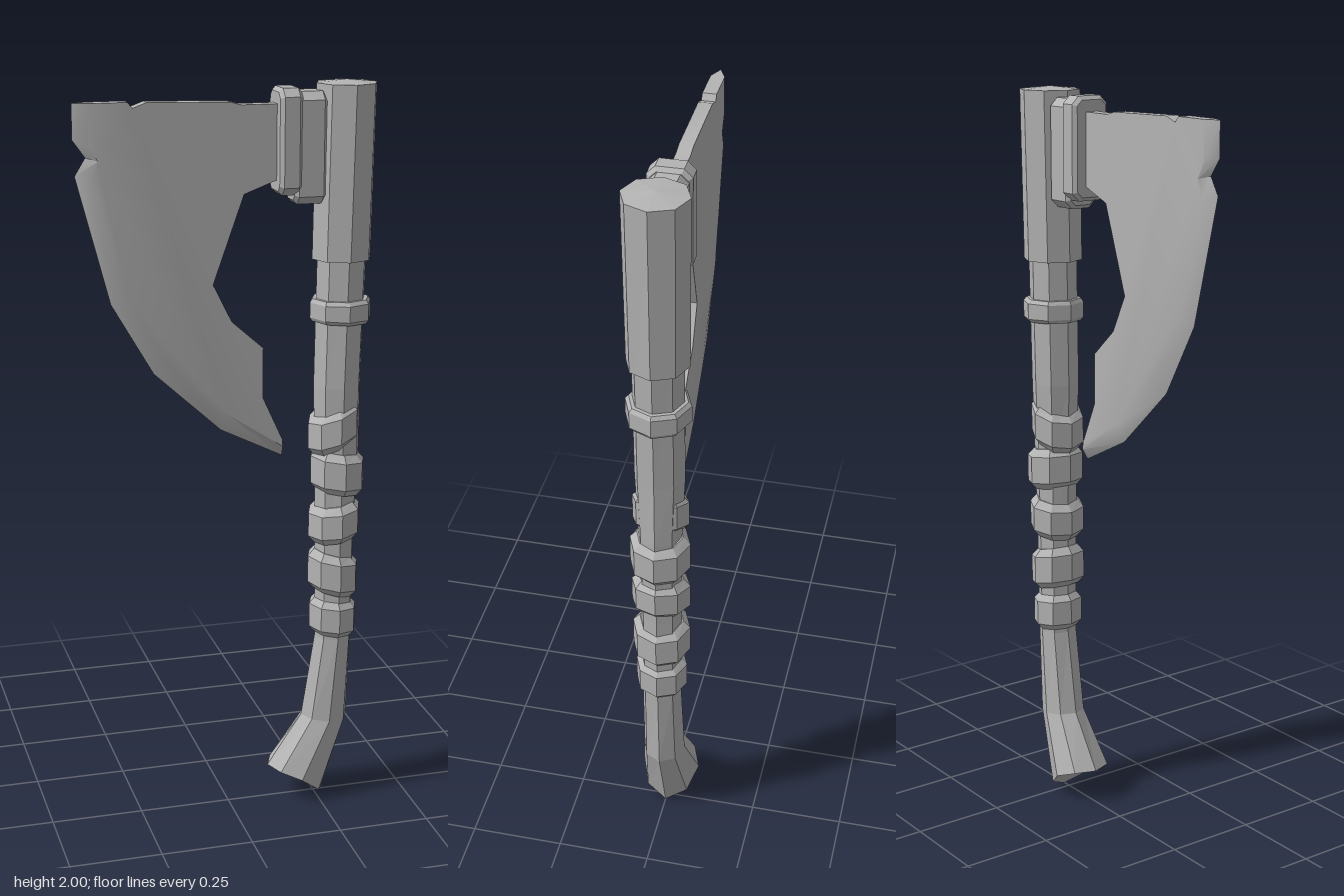
import * as THREE from 'three';
import { toCreasedNormals } from 'three/addons/utils/BufferGeometryUtils.js';

const iron = new THREE.MeshStandardMaterial({ color: 0xb4b4b4 });
iron.name = 'grey';

function makeMesh(name, geometry, crease = 0.01) {
  const mesh = new THREE.Mesh(toCreasedNormals(geometry, crease), iron);
  mesh.name = name;
  return mesh;
}

function fromTriangles(points, index) {
  const g = new THREE.BufferGeometry();
  g.setAttribute('position', new THREE.Float32BufferAttribute(points.flat(), 3));
  g.setIndex(index);
  return g;
}

// Octagonal loft, top to bottom. Ring: [left x, left y, right x, right y, half depth, middle lift]
function loft(rings, capLift = 0, sides = 8) {
  const points = [], index = [];
  for (const [xl, yl, xr, yr, rz, lift = 0] of rings) {
    for (let k = 0; k < sides; k++) {
      const a = (k / sides) * Math.PI * 2, c = Math.cos(a), s = Math.sin(a);
      points.push([(xl + xr) / 2 + (xr - xl) / 2 * c, (yl + yr) / 2 + (yr - yl) / 2 * c + lift * s * s, rz * s]);
    }
  }
  const last = (rings.length - 1) * sides;
  for (let i = 0; i < last; i += sides) {
    for (let k = 0; k < sides; k++) {
      const a = i + k, b = i + (k + 1) % sides;
      index.push(a, b, b + sides, a, b + sides, a + sides);
    }
  }
  const first = rings[0], end = rings[rings.length - 1], n = points.length;
  points.push([(first[0] + first[2]) / 2, (first[1] + first[3]) / 2 + capLift, 0]);
  points.push([(end[0] + end[2]) / 2 + 0.02, (end[1] + end[3]) / 2 + (end[5] || 0), 0]);
  for (let k = 0; k < sides; k++) {
    const j = (k + 1) % sides;
    index.push(n, j, k, n + 1, last + k, last + j);
  }
  return fromTriangles(points, index);
}

// A wrapped band with chamfered rims; slope raises its left side
function band(xl, xr, top, bottom, rz, slope) {
  const ring = (y, inset) => [xl + inset, y + slope, xr - inset, y - slope, rz - inset];
  return loft([ring(top, 0.018), ring(top - 0.02, 0), ring(bottom + 0.02, 0), ring(bottom, 0.018)]);
}

// Blade outline, counter-clockwise; a third value is the width of the ground edge
function bladeGeometry() {
  const outline = [
    [-0.4, 1.96, 0.04], [-0.4, 1.87, 0.04], [-0.368, 1.825, 0.03], [-0.396, 1.78, 0.04],
    [-0.31, 1.45, 0.045], [-0.2, 1.26, 0.05], [-0.02, 1.095, 0.05], [0.148, 1.012, 0.03],
    [0.145, 1.06], [0.09, 1.18], [0.09, 1.315], [0.005, 1.39], [-0.045, 1.49], [0.037, 1.72],
    [0.13, 1.755], [0.13, 1.945], [0.03, 1.945], [0, 1.953],
    [-0.215, 1.958], [-0.25, 1.945], [-0.262, 1.96],
  ];
  const half = 0.018, n = outline.length;
  const inner = outline.map(([x, y, w = 0], i) => {
    const dir = i === 0 ? new THREE.Vector2(1, 0) : new THREE.Vector2(0.1 - x, 1.7 - y).normalize();
    return new THREE.Vector2(x, y).addScaledVector(dir, w);
  });
  const points = [
    ...inner.map((p) => [p.x, p.y, half]),
    ...outline.map(([x, y, w]) => [x, y, 0]),
    ...inner.map((p) => [p.x, p.y, -half]),
  ];
  const index = [];
  for (const [a, b, c] of THREE.ShapeUtils.triangulateShape(inner, [])) {
    const ccw = THREE.ShapeUtils.area([inner[a], inner[b], inner[c]]) > 0;
    const [p, q] = ccw ? [b, c] : [c, b];
    index.push(a, p, q, a + 2 * n, q + 2 * n, p + 2 * n);
  }
  for (const o of [0, n]) {
    for (let i = 0; i < n; i++) {
      const a = o + i, b = o + (i + 1) % n;
      index.push(a, a + n, b + n, a, b + n, b);
    }
  }
  return fromTriangles(points, index);
}

// Chamfered slab across the x axis
function slab(x0, x1, y0, y1, halfZ, cut) {
  const s = new THREE.Shape(), b = 0.01;
  const lo = y0 + b, hi = y1 - b, z = halfZ - b;
  s.moveTo(-z + cut, lo);
  for (const [u, v] of [[z - cut, lo], [z, lo + cut], [z, hi - cut], [z - cut, hi], [-z + cut, hi], [-z, hi - cut], [-z, lo + cut]]) s.lineTo(u, v);
  const g = new THREE.ExtrudeGeometry(s, {
    depth: x1 - x0 - 2 * b, bevelEnabled: true, bevelSize: b, bevelThickness: b, bevelSegments: 1,
  });
  return g.rotateY(Math.PI / 2).translate(x0 + b, 0, 0);
}

export function createModel() {
  const axe = new THREE.Group();
  axe.name = 'axe';

  // Haft with a bent, flared foot
  axe.add(makeMesh('haft', loft([
    [0.24, 1.56, 0.375, 1.56, 0.065],
    [0.235, 1.2, 0.365, 1.2, 0.065],
    [0.24, 1.02, 0.365, 1.02, 0.057],
    [0.245, 0.75, 0.355, 0.75, 0.055],
    [0.248, 0.48, 0.352, 0.48, 0.053],
    [0.212, 0.245, 0.343, 0.23, 0.057],
    [0.115, 0.1, 0.272, 0.005, 0.08, 0.025],
  ])));

  // Head socket
  axe.add(makeMesh('headSocket', loft([
    [0.232, 1.992, 0.394, 1.992, 0.082],
    [0.226, 1.54, 0.386, 1.54, 0.079],
  ], 0.008)));

  // Collar ring and grip wraps
  axe.add(makeMesh('collarRing', loft([
    [0.228, 1.435, 0.382, 1.435, 0.074], [0.222, 1.425, 0.389, 1.425, 0.083],
    [0.222, 1.385, 0.389, 1.38, 0.083], [0.228, 1.375, 0.382, 1.37, 0.074],
  ])));
  const wraps = [
    [0.222, 0.362, 1.14, 1.03, 0.074, -0.025],
    [0.23, 0.38, 1.015, 0.9, 0.079, 0.008],
    [0.226, 0.37, 0.87, 0.765, 0.078, -0.01],
    [0.226, 0.367, 0.725, 0.61, 0.077, 0.012],
    [0.232, 0.365, 0.592, 0.485, 0.069, 0.005],
  ];
  for (const w of wraps) axe.add(makeMesh('gripWrap', band(...w)));

  // Mount joining blade and socket
  axe.add(makeMesh('mountPlate', slab(0.123, 0.183, 1.715, 1.985, 0.055, 0.015)));
  axe.add(makeMesh('mountNeck', slab(0.165, 0.25, 1.69, 1.975, 0.048, 0.015)));

  // Blade
  axe.add(makeMesh('blade', bladeGeometry(), 0.5));
  return axe;
}
